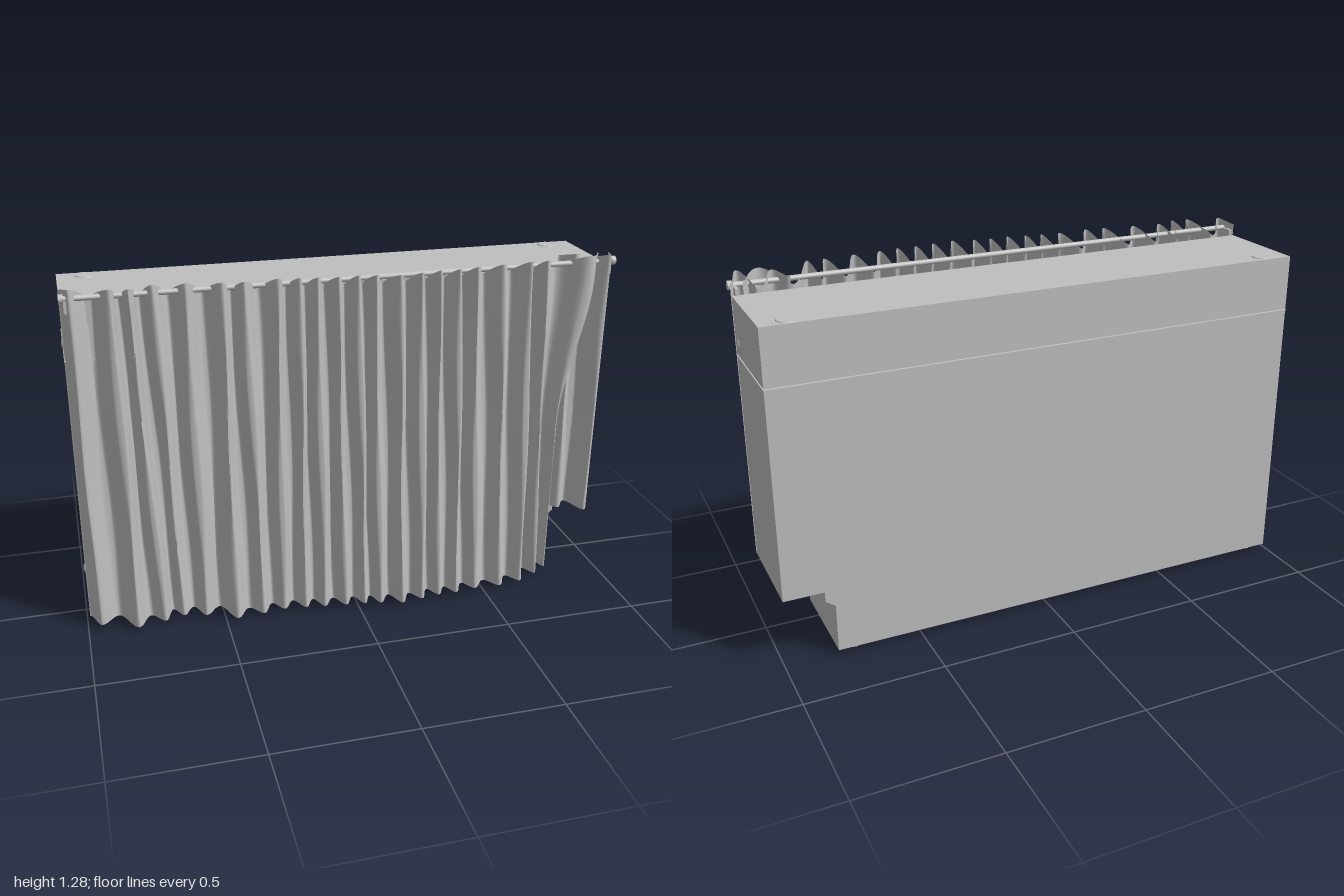
import * as THREE from 'three';

const fabric = new THREE.MeshStandardMaterial({ color: 0xbfbfbf, side: THREE.DoubleSide });
fabric.name = 'plain grey';

const lerp = THREE.MathUtils.lerp;
const BACK = 0.085; // front plane of the cabinet, where the cloth ends

function add(parent, name, geometry, x = 0, y = 0, z = 0) {
  const mesh = new THREE.Mesh(geometry, fabric);
  mesh.name = name;
  mesh.position.set(x, y, z);
  parent.add(mesh);
  return mesh;
}

// Prism along z from an outline in the x-y plane
function prism(points, z0, z1) {
  const shape = new THREE.Shape(points.map(p => new THREE.Vector2(p[0], p[1])));
  const g = new THREE.ExtrudeGeometry(shape, { depth: z1 - z0, bevelEnabled: false });
  return g.translate(0, 0, z0);
}

// Grid surface: at(i, j) gives the point in column i, row j
function grid(cols, rows, at) {
  const pos = [], index = [];
  for (let i = 0; i < cols; i++) for (let j = 0; j < rows; j++) pos.push(...at(i, j));
  for (let i = 0; i < cols - 1; i++) for (let j = 0; j < rows - 1; j++) {
    const a = i * rows + j, b = a + rows;
    index.push(a, b, a + 1, b, b + 1, a + 1);
  }
  const g = new THREE.BufferGeometry();
  g.setAttribute('position', new THREE.Float32BufferAttribute(pos, 3));
  g.setIndex(index);
  g.computeVertexNormals();
  return g;
}

// Ridges as [x top, x bottom, z top, z bottom]; valleys are set between them
function pleats(ridges, startX, endX) {
  const pts = [{ x0: startX, x1: startX, z0: BACK, z1: BACK, w: 0.6 }];
  ridges.forEach((r, i) => {
    pts.push({ x0: r[0], x1: r[1], z0: r[2], z1: r[3], w: 1 });
    const n = ridges[i + 1];
    if (n) pts.push({
      x0: (r[0] + n[0]) / 2, x1: (r[1] + n[1]) / 2,
      z0: Math.min(r[2], n[2]) - 0.075, z1: Math.min(r[3], n[3]) - 0.05, w: 0
    });
  });
  pts.push({ x0: endX[0], x1: endX[1], z0: BACK, z1: BACK, w: 0.6 });
  return pts;
}

// Hanging cloth with a closed hem at the bottom
function drape(parent, name, pts, yBottom, adjust = p => p) {
  const sub = 10, rows = 28, cols = (pts.length - 1) * sub + 1;
  const at = (i, j) => {
    const k = Math.min(Math.floor(i / sub), pts.length - 2), f = i / sub - k;
    const a = pts[k], b = pts[k + 1];
    const s = (1 - Math.cos(Math.PI * f)) / 2;
    const t = j / (rows - 1);                          // 0 top, 1 bottom
    const top = 1.235 + 0.05 * Math.pow(lerp(a.w, b.w, s), 0.7);
    const x = lerp(lerp(a.x0, b.x0, f), lerp(a.x1, b.x1, f), t)
      + 0.008 * Math.sin(t * 5 + k * 1.9) * Math.sin(Math.PI * t) * (k > 0 && k < pts.length - 2 ? 1 : 0);
    const z = Math.max(BACK, lerp(lerp(a.z0, b.z0, s), lerp(a.z1, b.z1, s), t));
    return adjust([x, lerp(top, yBottom, t), z], t);
  };
  add(parent, name, grid(cols, rows, (i, j) => at(i, rows - 1 - j)));
  add(parent, name + 'Hem', grid(cols, 2, (i, j) => {
    const p = at(i, rows - 1);
    return j ? p : [p[0], p[1], BACK];
  }));
}

export function createModel() {
  const model = new THREE.Group();
  model.name = 'curtainedCabinet';

  // Cabinet with a stepped lower corner, and its lid over a narrow seam
  add(model, 'cabinetBody', prism([
    [-0.99, 0.02], [0.81, 0.02], [0.81, 0.2], [0.845, 0.225], [0.845, 0.262],
    [0.99, 0.262], [0.99, 1.018], [-0.99, 1.018]
  ], -0.28, BACK));
  add(model, 'seam', new THREE.BoxGeometry(1.965, 0.012, 0.35), 0, 1.022, -0.0975);
  add(model, 'seamLip', new THREE.BoxGeometry(1.984, 0.004, 0.37), 0, 1.02, -0.098);
  add(model, 'lid', new THREE.BoxGeometry(1.98, 0.2, 0.365), 0, 1.126, -0.0975);

  // Feet, lid caps and side knobs
  for (const x of [-0.93, 0.74]) for (const z of [0.035, -0.225])
    add(model, 'foot', new THREE.CylinderGeometry(0.031, 0.029, 0.024, 20), x, 0.012, z);
  for (const s of [-1, 1]) {
    add(model, 'lidCap', new THREE.CylinderGeometry(0.035, 0.037, 0.004, 20), s * 0.89, 1.227, -0.24);
    add(model, 'sideKnob', new THREE.SphereGeometry(0.02, 12, 8), s * 0.987, 1.07, 0.04).scale.x = 0.5;
  }
  add(model, 'sideKnob', new THREE.SphereGeometry(0.02, 12, 8), -0.987, 0.2, 0.04).scale.x = 0.5;

  // Curtain rod with end stops and brackets
  add(model, 'curtainRod', new THREE.CylinderGeometry(0.01, 0.01, 1.97, 12), 0, 1.25, 0.13).rotation.z = Math.PI / 2;
  for (const s of [-1, 1]) {
    add(model, 'rodEnd', new THREE.CylinderGeometry(0.016, 0.016, 0.016, 14), s * 0.985, 1.25, 0.13).rotation.z = Math.PI / 2;
    add(model, 'rodBracket', new THREE.BoxGeometry(0.012, 0.05, 0.06), s * 0.972, 1.225, 0.108);
  }

  // Main curtain, leaning forward towards the floor
  const ridges = [
    [-0.96, -0.95, 0.15, 0.16], [-0.83, -0.82, 0.18, 0.21], [-0.77, -0.72, 0.19, 0.19],
    [-0.69, -0.65, 0.16, 0.17], [-0.58, -0.57, 0.17, 0.19], [-0.46, -0.46, 0.19, 0.24],
    [-0.39, -0.36, 0.2, 0.23], [-0.27, -0.28, 0.19, 0.22], [-0.2, -0.2, 0.2, 0.23],
    [-0.14, -0.13, 0.21, 0.24], [-0.07, -0.05, 0.22, 0.25], [0, 0.02, 0.22, 0.26],
    [0.06, 0.08, 0.23, 0.27], [0.14, 0.16, 0.25, 0.29], [0.22, 0.24, 0.24, 0.28],
    [0.29, 0.31, 0.23, 0.27], [0.36, 0.38, 0.23, 0.27], [0.43, 0.46, 0.22, 0.26],
    [0.53, 0.56, 0.21, 0.265], [0.64, 0.65, 0.2, 0.25], [0.7, 0.73, 0.2, 0.21],
    [0.79, 0.785, 0.18, 0.17]
  ];
  drape(model, 'mainCurtain', pleats(ridges, -0.99, [0.84, 0.81]), 0.022, (p, t) => {
    // The free edge sweeps outwards above mid height
    const sweep = 0.11 * THREE.MathUtils.smoothstep(0.52 - t, 0, 0.45);
    p[0] += sweep * THREE.MathUtils.smoothstep(p[0], 0.7, 0.83);
    return p;
  });

  // Short curtain panel above the stepped corner
  drape(model, 'sideCurtain', pleats([
    [0.84, 0.84, 0.14, 0.14], [0.95, 0.93, 0.18, 0.185]
  ], 0.79, [0.992, 0.992]), 0.264);

  return model;
}
